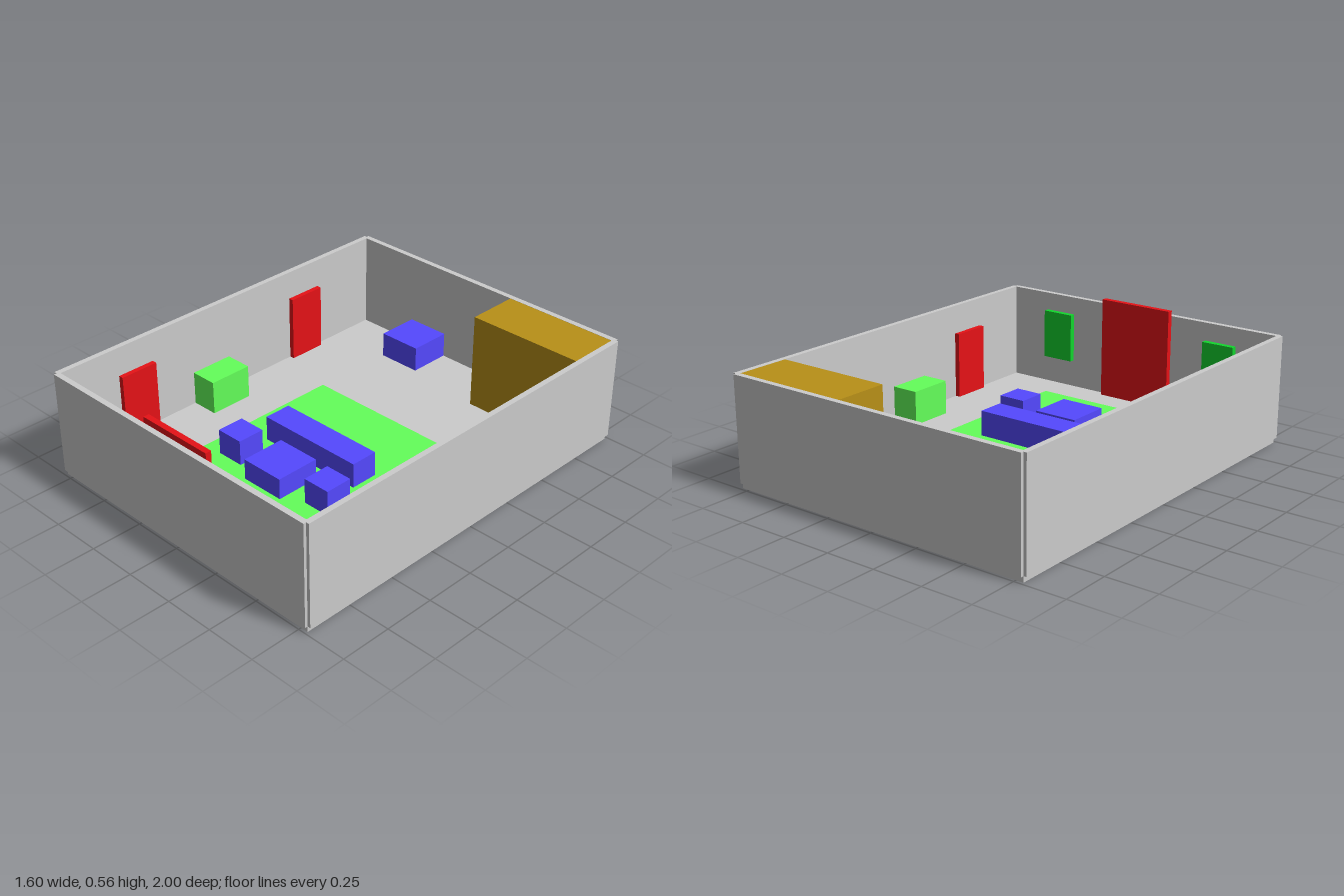
import * as THREE from 'three';

const grey = new THREE.MeshStandardMaterial({ color: 0xcccccc });
const paint = (color) => new THREE.MeshStandardMaterial({ color });
const blue = paint(0x5549ff);
const green = paint(0x64ff5a);
const darkGreen = paint(0x12d62e);
const red = paint(0xe61217);
const brown = paint(0xb89018);

export function createModel() {
  const room = new THREE.Group();
  room.name = 'furnishedRoom';

  // Box given by its lower and upper limits on each axis
  function block(name, material, [x0, x1], [y0, y1], [z0, z1]) {
    const geometry = new THREE.BoxGeometry(x1 - x0, y1 - y0, z1 - z0);
    const mesh = new THREE.Mesh(geometry, material);
    mesh.position.set((x0 + x1) / 2, (y0 + y1) / 2, (z0 + z1) / 2);
    mesh.name = name;
    room.add(mesh);
  }

  // The same box on the left (+x) and mirrored on the right
  function pair(name, material, [x0, x1], y, z) {
    block(name + 'Left', material, [x0, x1], y, z);
    block(name + 'Right', material, [-x1, -x0], y, z);
  }

  const floorTop = 0.056;
  const wallY = [0.028, 0.535];

  // Shell: walls straddle the edges of the floor slab, leaving notched corners
  block('floor', grey, [-0.787, 0.787], [0, floorTop], [-0.986, 0.986]);
  pair('sideWall', grey, [0.775, 0.802], wallY, [-0.986, 0.986]);
  block('frontWall', grey, [-0.787, 0.787], wallY, [0.972, 1]);
  block('backWall', grey, [-0.787, 0.787], wallY, [-1, -0.972]);

  // Panels on the inside of the walls
  block('door', red, [-0.197, 0.197], [floorTop, 0.563], [0.942, 0.971]);
  pair('frontWindow', darkGreen, [0.394, 0.563], [0.197, 0.445], [0.942, 0.971]);
  pair('frontSidePanel', red, [0.75, 0.778], [floorTop, 0.39], [0.465, 0.662]);
  pair('backSidePanel', red, [0.75, 0.778], [floorTop, 0.39], [-0.61, -0.413]);

  // Furniture along the walls
  block('cupboard', brown, [0.183, 0.775], [floorTop, 0.534], [-0.972, -0.707]);
  block('backSeat', blue, [-0.445, -0.222], [floorTop, 0.183], [-0.972, -0.757]);
  pair('sideCabinet', green, [0.636, 0.775], [floorTop, 0.225], [0, 0.225]);

  // Seating group on the rug
  block('rug', green, [-0.449, 0.449], [floorTop, 0.061], [-0.325, 0.802]);
  block('sofa', blue, [-0.281, 0.281], [floorTop, 0.185], [0.07, 0.209]);
  block('lowTable', blue, [-0.113, 0.113], [floorTop, 0.165], [0.276, 0.5]);
  pair('stool', blue, [0.21, 0.351], [floorTop, 0.187], [0.301, 0.44]);

  return room;
}
